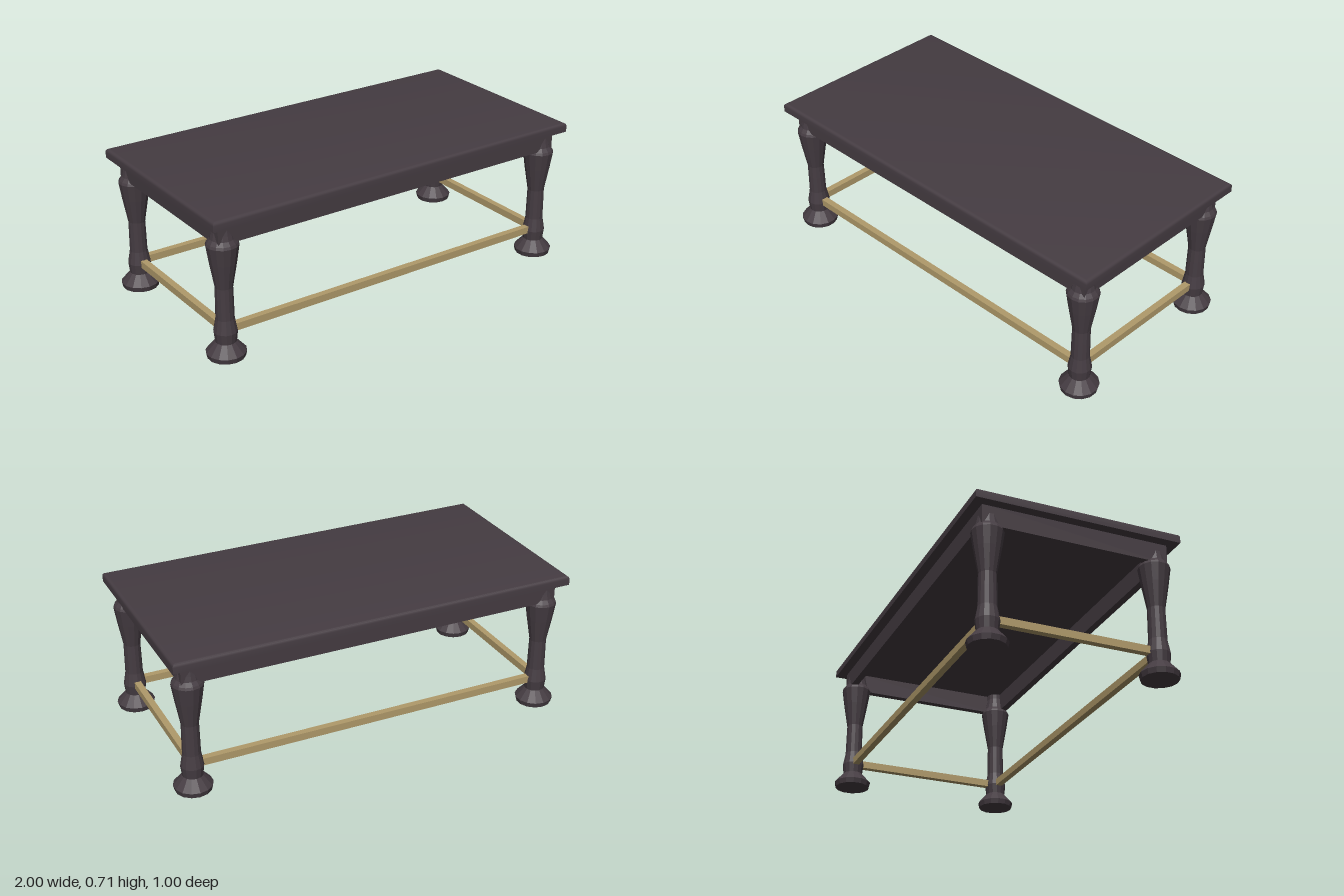
import * as THREE from 'three';
import { toCreasedNormals } from 'three/addons/utils/BufferGeometryUtils.js';

const LEG_X = 0.908, LEG_Z = 0.408;

export function createModel() {
  const table = new THREE.Group();
  table.name = 'table';
  const wood = new THREE.MeshStandardMaterial({ color: 0x453c42, flatShading: true });
  const smoothWood = new THREE.MeshStandardMaterial({ color: 0x453c42 });
  const brass = new THREE.MeshStandardMaterial({ color: 0xb09a6a });

  const add = (name, geometry, material, x = 0, y = 0, z = 0) => {
    const mesh = new THREE.Mesh(geometry, material);
    mesh.name = name;
    mesh.position.set(x, y, z);
    table.add(mesh);
    return mesh;
  };

  // Tabletop: a slab whose upper edges are pulled into a quarter round
  const bottom = 0.66, top = 0.706, round = 0.016, steps = 4;
  const slab = new THREE.BoxGeometry(2, 1, 1, 1, steps + 1, 1);
  const p = slab.attributes.position;
  for (let i = 0; i < p.count; i++) {
    const row = Math.round((p.getY(i) + 0.5) * (steps + 1));
    const a = (Math.max(row - 1, 0) / steps) * Math.PI / 2;
    const inset = round * (1 - Math.cos(a));
    const y = row === 0 ? bottom : top - round + round * Math.sin(a);
    p.setXYZ(i, Math.sign(p.getX(i)) * (1 - inset), y, Math.sign(p.getZ(i)) * (0.5 - inset));
  }
  add('tabletop', toCreasedNormals(slab, 0.6), smoothWood);

  // Apron: hollow rectangular frame under the top
  const rect = (path, x, z) => path.moveTo(-x, -z).lineTo(x, -z).lineTo(x, z).lineTo(-x, z).closePath();
  const frame = new THREE.Shape();
  rect(frame, 0.953, 0.453);
  const hole = new THREE.Path();
  rect(hole, 0.918, 0.418);
  frame.holes.push(hole);
  const apron = new THREE.ExtrudeGeometry(frame, { depth: 0.096, bevelEnabled: false });
  apron.rotateX(-Math.PI / 2);
  add('apron', apron, wood, 0, 0.565, 0);

  // Turned legs with flared feet and necks running up through the apron
  const profile = [
    [0, 0], [0.087, 0], [0.093, 0.025], [0.049, 0.075], [0.055, 0.125], [0.043, 0.19],
    [0.042, 0.28], [0.041, 0.345], [0.062, 0.465], [0.075, 0.55], [0.07, 0.562],
    [0.056, 0.58], [0.05, 0.605], [0.044, 0.635], [0.044, 0.665],
  ].map(([r, y]) => new THREE.Vector2(r, y));
  const leg = new THREE.LatheGeometry(profile, 14);
  for (const sx of [-1, 1]) {
    for (const sz of [-1, 1]) {
      add(`${sz > 0 ? 'front' : 'back'}${sx > 0 ? 'Left' : 'Right'}Leg`, leg, wood, sx * LEG_X, 0, sz * LEG_Z);
    }
  }

  // Stretcher rails joining neighbouring legs
  const longRail = new THREE.BoxGeometry(2 * LEG_X, 0.036, 0.032);
  const shortRail = new THREE.BoxGeometry(0.032, 0.036, 2 * LEG_Z);
  for (const s of [-1, 1]) {
    add(s > 0 ? 'frontRail' : 'backRail', longRail, brass, 0, 0.132, s * LEG_Z);
    add(s > 0 ? 'leftRail' : 'rightRail', shortRail, brass, s * LEG_X, 0.132, 0);
  }
  return table;
}
